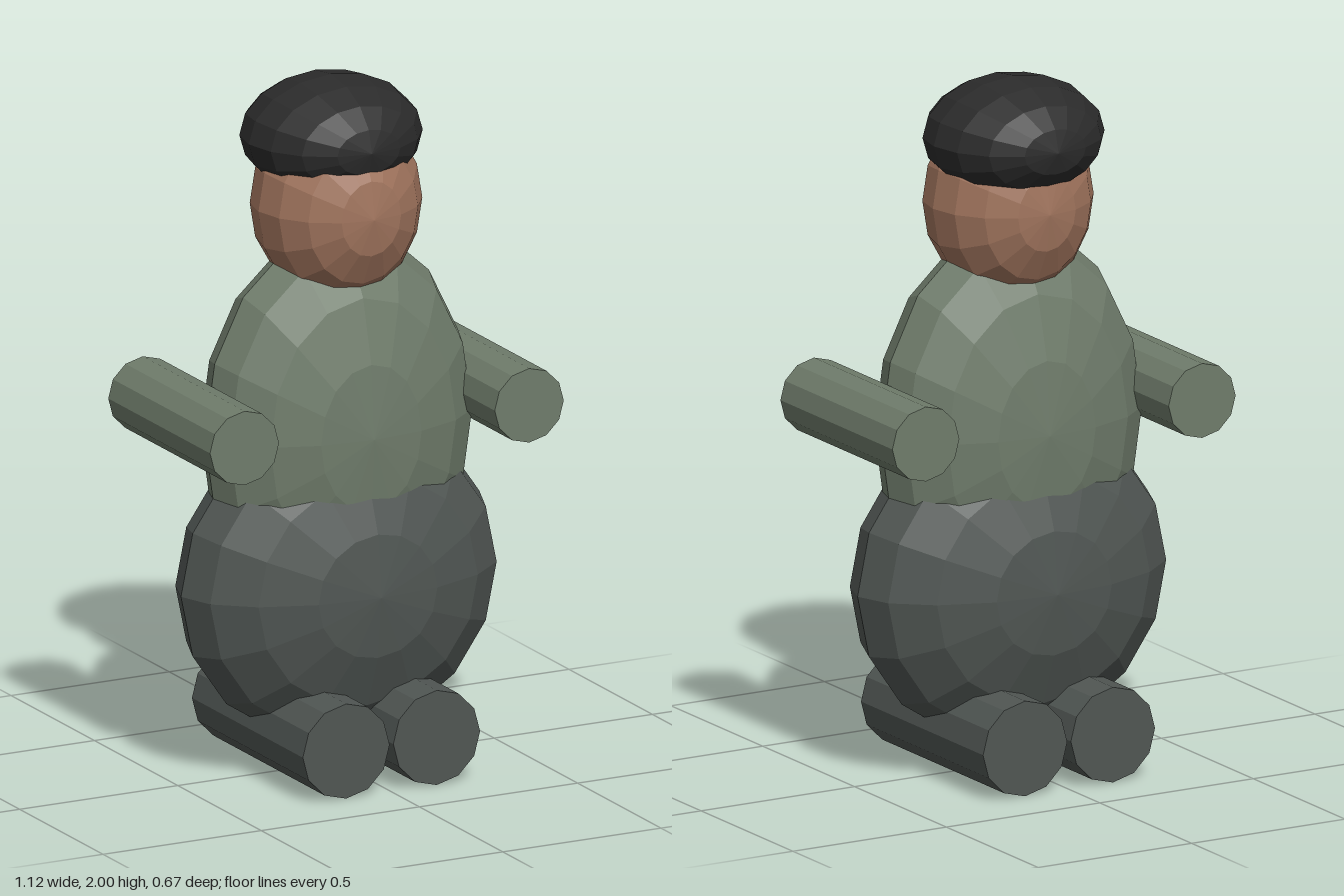
import * as THREE from 'three';

const mat = (name, color) => {
  const m = new THREE.MeshStandardMaterial({ color, flatShading: true });
  m.name = name;
  return m;
};

export function createModel() {
  const group = new THREE.Group();
  const shirt = mat('sageShirt', 0x6f7c6b);
  const trousers = mat('greyTrousers', 0x505653);
  const skin = mat('skin', 0xa0745d);
  const felt = mat('blackFelt', 0x2b2b2b);

  const add = (name, geometry, material, x, y, z) => {
    const mesh = new THREE.Mesh(geometry, material);
    mesh.name = name;
    mesh.position.set(x, y, z);
    group.add(mesh);
  };

  // Faceted ellipsoid with its poles facing front and back
  const ellipsoid = (rx, ry, rz) =>
    new THREE.SphereGeometry(1, 16, 8).rotateX(Math.PI / 2).scale(rx, ry, rz);

  // Twelve-sided limb lying along z
  const limb = (rx, ry, length) =>
    new THREE.CylinderGeometry(1, 1, length, 12).rotateX(Math.PI / 2).scale(rx, ry, 1);

  // Rounded body, head and cap, each sunk into the next
  add('hips', ellipsoid(0.49, 0.47, 0.273), trousers, 0, 0.55, 0);
  add('torso', ellipsoid(0.415, 0.56, 0.23), shirt, 0, 1.0, 0);
  add('head', ellipsoid(0.245, 0.285, 0.23), skin, 0, 1.64, 0);
  add('cap', ellipsoid(0.26, 0.17, 0.246), felt, 0, 1.83, -0.03);

  // Mirrored arms and legs
  for (const [side, s] of [['left', 1], ['right', -1]]) {
    add(side + 'Arm', limb(0.109, 0.108, 0.61), shirt, s * 0.45, 1.058, 0);
    add(side + 'Leg', limb(0.137, 0.138, 0.665), trousers, s * 0.143, 0.139, 0);
  }
  return group;
}
